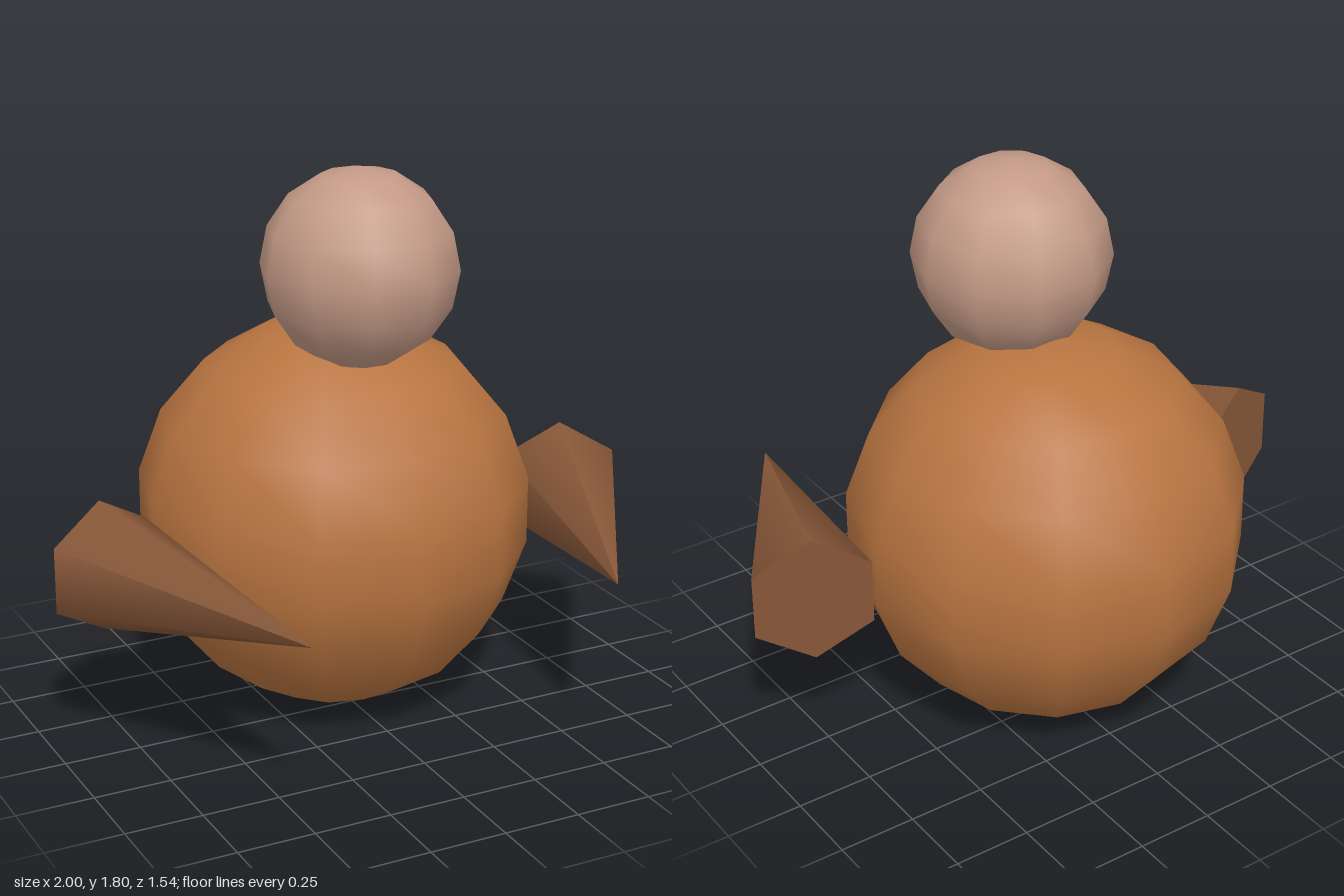
import * as THREE from 'three';

export function createModel() {
  const model = new THREE.Group();
  model.name = 'bird';

  const addPart = (name, geometry, color, x, y, z) => {
    const mesh = new THREE.Mesh(geometry, new THREE.MeshStandardMaterial({ color }));
    mesh.name = name;
    mesh.position.set(x, y, z);
    model.add(mesh);
    return mesh;
  };

  // Round body and smaller head, set slightly forward
  addPart('body', new THREE.SphereGeometry(0.642, 12, 9), 0xb87440, 0, 0.642, -0.14);
  addPart('head', new THREE.SphereGeometry(0.313, 10, 8), 0xc49a86, 0, 1.49, 0.05);

  // Six-sided cone arms, pointing forward and turned inward
  for (const side of [1, -1]) {
    const cone = new THREE.ConeGeometry(0.213, 0.909, 6).rotateX(Math.PI / 2);
    const arm = addPart(side > 0 ? 'leftArm' : 'rightArm', cone, 0x875738,
      side * 0.67, 0.605, 0.341);
    arm.rotation.y = -side * THREE.MathUtils.degToRad(20);
  }

  return model;
}
